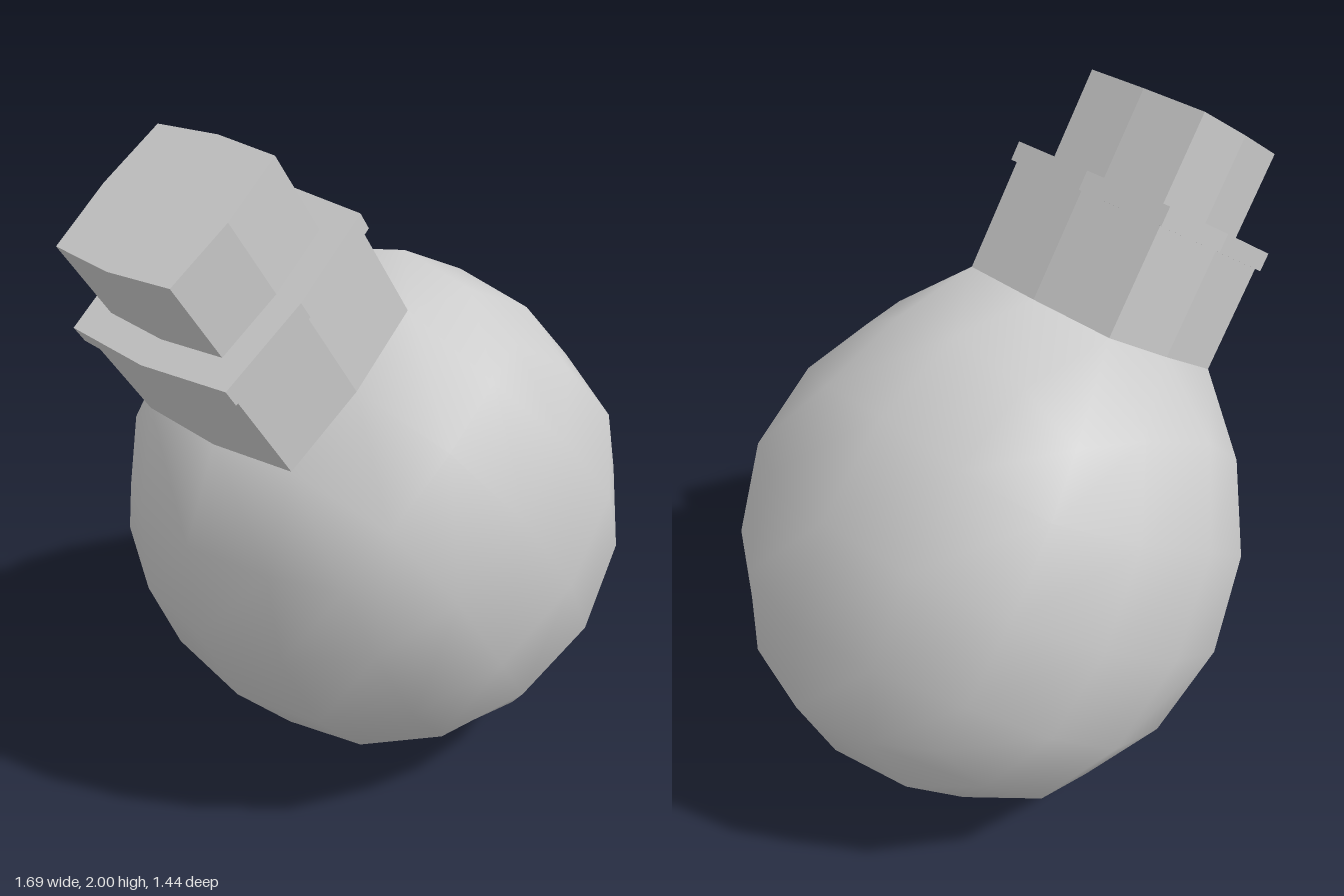
import * as THREE from 'three';
import { mergeVertices } from 'three/addons/utils/BufferGeometryUtils.js';

const R = 0.82, H = 0.874; // radial and axial scale of the bulb
const BASE = 0.716;        // height where the neck leaves the bulb

// Rounded-cube positions, keyed by the sorted grid steps (0-2) of a vertex
const ROUNDED = {
  '002': [0, 0, 0.8785], '012': [0, 0.3505, 0.8195], '112': [0.326, 0.326, 0.764],
  '022': [0, 0.643, 0.643], '122': [0.302, 0.599, 0.599], '222': [0.509, 0.509, 0.509],
};

function bulbGeometry() {
  let g = new THREE.BoxGeometry(4, 4, 4, 4, 4, 4);
  g.deleteAttribute('normal');
  g.deleteAttribute('uv');
  g = mergeVertices(g);
  const p = g.attributes.position;
  for (let i = 0; i < p.count; i++) {
    const v = [p.getX(i), p.getY(i), p.getZ(i)].map(Math.round);
    const steps = v.map(Math.abs).sort();
    const row = ROUNDED[steps.join('')];
    const [x, y, z] = v.map((c) => Math.sign(c) * row[steps.indexOf(Math.abs(c))]);
    // flat seat under the neck
    const seat = v[1] === 2 && Math.abs(v[0]) < 2 && Math.abs(v[2]) < 2;
    p.setXYZ(i, x * R, seat ? BASE : y * H, z * R);
  }
  g.computeVertexNormals();
  return g;
}

// Prism with a square section whose sides bulge slightly at the middle
function collarGeometry(scale, bottom, top) {
  const c = 0.267 * scale, m = 0.287 * scale;
  const shape = new THREE.Shape(
    [[m, 0], [c, c], [0, m], [-c, c], [-m, 0], [-c, -c], [0, -m], [c, -c]]
      .map(([x, y]) => new THREE.Vector2(x, y)));
  const g = new THREE.ExtrudeGeometry(shape, { depth: top - bottom, bevelEnabled: false });
  g.rotateX(-Math.PI / 2);
  g.translate(0, bottom, 0);
  return g;
}

export function createModel() {
  const model = new THREE.Group();
  model.name = 'flask';
  const tilted = new THREE.Group();
  tilted.name = 'tiltedFlask';
  tilted.position.set(0.094, 0.76, 0);
  tilted.rotation.z = THREE.MathUtils.degToRad(34);
  model.add(tilted);

  const material = new THREE.MeshStandardMaterial({ color: 0xcccccc });
  const add = (name, geometry) => {
    const mesh = new THREE.Mesh(geometry, material);
    mesh.name = name;
    tilted.add(mesh);
  };
  add('bulb', bulbGeometry());
  add('neck', collarGeometry(1, BASE - 0.01, 1.05));
  add('rim', collarGeometry(1.045, 1.035, 1.09));
  add('stopper', collarGeometry(0.76, 1.08, 1.35));
  return model;
}
